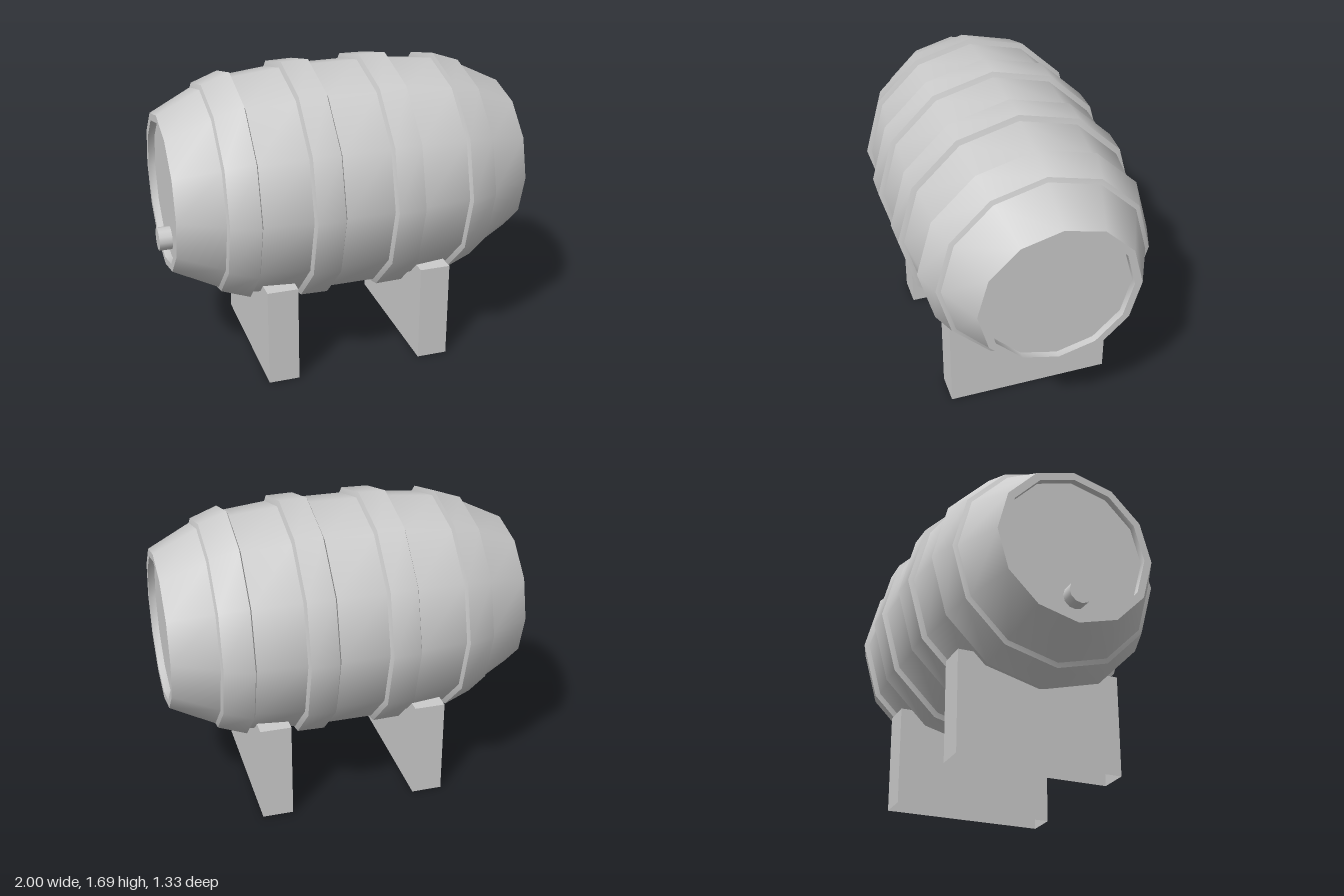
import * as THREE from 'three';
import { toCreasedNormals } from 'three/addons/utils/BufferGeometryUtils.js';

const SIDES = 12;
const CENTER = new THREE.Vector3(0.0175, 1.025, -0.003);

export function createModel() {
  const group = new THREE.Group();
  const material = new THREE.MeshStandardMaterial({ color: 0xcccccc });
  const add = (name, geometry, x, y, z, mat = material) => {
    const mesh = new THREE.Mesh(geometry, mat);
    mesh.name = name;
    mesh.position.set(x, y, z);
    group.add(mesh);
  };

  // Barrel: half profile [radius, distance from the middle], mirrored along the axis
  const half = [
    [0, 0.945], [0.395, 0.945], [0.395, 0.9825], [0.437, 0.9825], // recessed head and rim
    [0.555, 0.745], [0.58, 0.735], [0.635, 0.58], [0.607, 0.57], // outer hoop
    [0.634, 0.307], [0.664, 0.296], [0.667, 0.145], [0.639, 0.133], // inner hoop
  ];
  const profile = [
    ...half.map(([r, u]) => new THREE.Vector2(r, -u)),
    ...half.slice().reverse().map(([r, u]) => new THREE.Vector2(r, u)),
  ];
  const barrel = new THREE.LatheGeometry(profile, SIDES);
  barrel.rotateZ(-Math.PI / 2);
  add('barrel', toCreasedNormals(barrel, 0.56), CENTER.x, CENTER.y, CENTER.z);

  // Bung low on the left-hand head
  const bung = new THREE.CylinderGeometry(0.065, 0.065, 0.09, SIDES);
  bung.rotateZ(Math.PI / 2);
  add('bung', bung, -0.955, 0.745, CENTER.z);

  // Two support blocks, open underneath
  const openMaterial = material.clone();
  openMaterial.side = THREE.DoubleSide;
  for (const [name, x] of [['rightSupport', -0.4175], ['leftSupport', 0.465]]) {
    const block = new THREE.BoxGeometry(0.172, 0.56, 0.92);
    const index = Array.from(block.index.array);
    index.splice(18, 6); // drop the bottom face
    block.setIndex(index);
    block.clearGroups();
    add(name, block, x, 0.28, 0, openMaterial);
  }

  return group;
}
